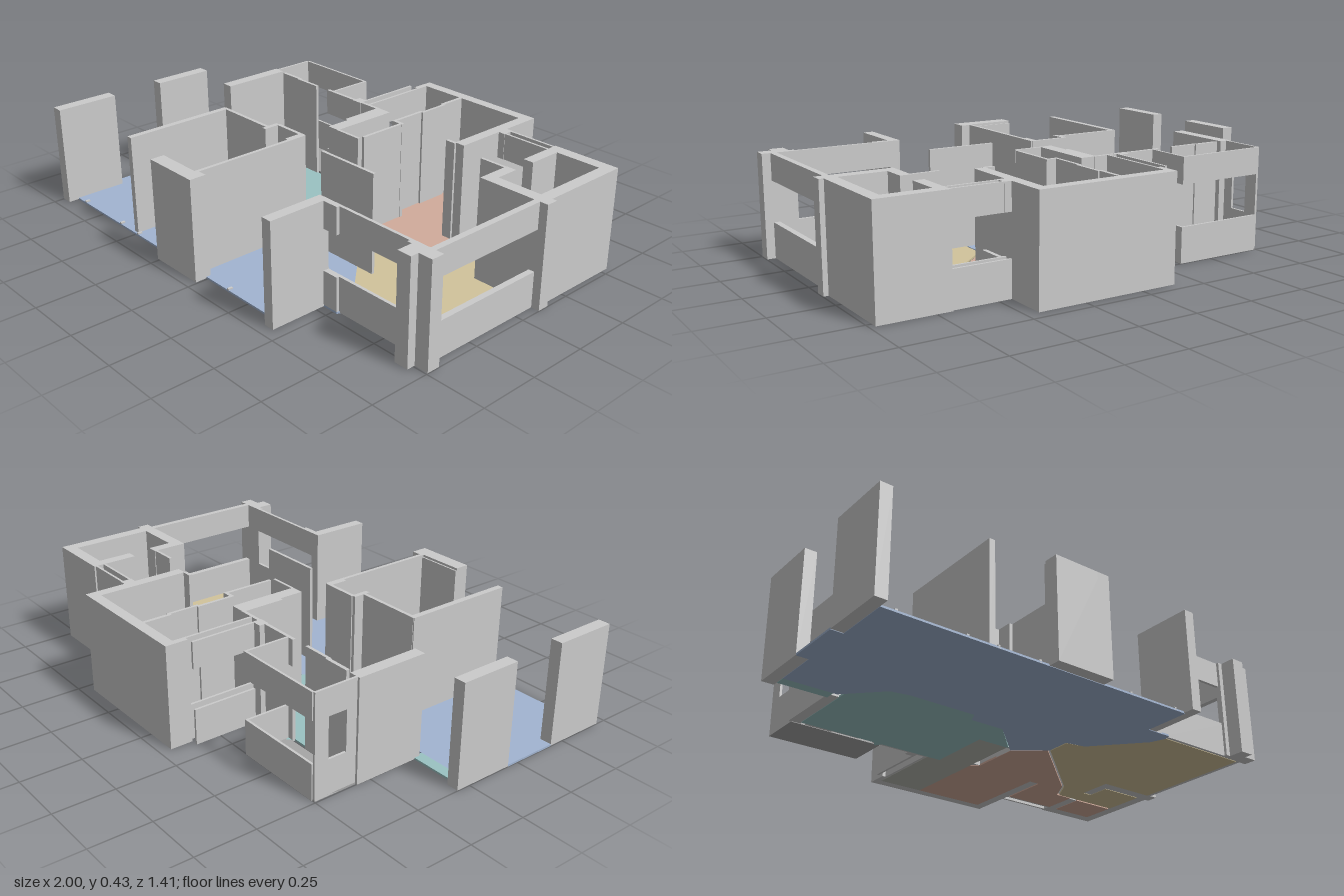
import * as THREE from 'three';

const H = 0.43, SILL = 0.15, HEAD = 0.32, SLAB = 0.008;

export function createModel() {
  const model = new THREE.Group();
  model.name = 'apartment';
  const wallMat = new THREE.MeshStandardMaterial({ color: 0xcccccc });

  // Upright block between plan limits
  function wall(name, x0, x1, z0, z1, y0 = 0.002, y1 = H) {
    const mesh = new THREE.Mesh(new THREE.BoxGeometry(x1 - x0, y1 - y0, z1 - z0), wallMat);
    mesh.position.set((x0 + x1) / 2, (y0 + y1) / 2, (z0 + z1) / 2);
    mesh.name = name;
    model.add(mesh);
  }
  // Parapet and lintel with an open band between
  function windowWall(name, x0, x1, z0, z1) {
    wall(name + 'Parapet', x0, x1, z0, z1, 0.002, SILL);
    wall(name + 'Lintel', x0, x1, z0, z1, HEAD, H);
  }
  // Thin floor slab from plan points (x, z)
  function floor(name, color, points) {
    const shape = new THREE.Shape(points.map(([x, z]) => new THREE.Vector2(x, -z)));
    const geo = new THREE.ExtrudeGeometry(shape, { depth: SLAB, bevelEnabled: false });
    geo.rotateX(-Math.PI / 2);
    const mesh = new THREE.Mesh(geo, new THREE.MeshStandardMaterial({ color }));
    mesh.name = name;
    model.add(mesh);
  }
  const rect = (x0, x1, z0, z1) => [[x0, z0], [x1, z0], [x1, z1], [x0, z1]];

  // Floors
  const blue = 0xa2b5d2, teal = 0x9bc3c3, pink = 0xd2ac9c, yellow = 0xd2c49c;
  floor('frontRoomsFloor', blue, [[-0.95, 0.01], [-0.73, 0.01], [-0.59, 0.15], [-0.51, 0.165],
    [-0.22, 0.165], [-0.2, 0.12], [-0.05, 0.12], [0.11, -0.035], [0.24, 0.06], [0.24, 0.165],
    [0.325, 0.18], [0.505, 0.375], [0.53, 0.44], [0.52, 0.465], [0.41, 0.465], [0.41, 0.66],
    [-0.95, 0.66], [-0.95, 0.435], [-1, 0.435], [-1, 0.2], [-0.95, 0.2]]);
  floor('backRoomsFloor', teal, [[-0.71, -0.3], [-0.38, -0.3], [-0.36, -0.33], [-0.345, -0.3],
    [-0.06, -0.3], [-0.06, -0.02], [0.09, -0.02], [-0.05, 0.12], [-0.2, 0.12], [-0.22, 0.165],
    [-0.51, 0.165], [-0.59, 0.15], [-0.71, 0.03]]);
  floor('sideStripFloor', teal, rect(-0.95, -0.745, -0.035, 0.01));
  floor('balconyFloor', 0xa6a6a6, rect(-0.745, -0.345, -0.5, -0.315));
  floor('hallFloor', 0xb6b8b0, rect(-0.12, 0.08, -0.66, -0.02));
  floor('bedroomFloor', pink, [[0.08, -0.66], [0.405, -0.66], [0.405, -0.27], [0.455, -0.27],
    [0.455, -0.48], [0.69, -0.48], [0.69, -0.33], [0.61, -0.33], [0.56, -0.235], [0.235, 0.055],
    [0.115, -0.04], [0.115, -0.25], [0.08, -0.27]]);
  floor('bathFloor', pink, rect(0.735, 0.93, -0.485, -0.335));
  floor('livingFloor', yellow, [[0.245, 0.06], [0.568, -0.23], [0.62, -0.325], [0.93, -0.325],
    [0.93, -0.14], [0.735, -0.14], [0.735, -0.24], [0.69, -0.24], [0.69, -0.09], [0.945, -0.09],
    [0.945, 0.44], [0.53, 0.44], [0.505, 0.375], [0.325, 0.18], [0.245, 0.165]]);

  // Front pillars
  wall('sidePillarFront', -1, -0.95, 0.435, 0.705);
  wall('sidePillarBack', -1, -0.95, -0.06, 0.2);
  wall('frontPillar', -0.26, -0.045, 0.65, 0.71);
  wall('frontPillarEnd', -0.06, -0.005, 0.64, 0.71);
  wall('frontPillarLip', -0.26, -0.045, 0.643, 0.652, 0.002, H - 0.01);
  wall('frontEndPillar', 0.405, 0.45, 0.44, 0.705);

  // Partitions between the front rooms
  wall('roomPartition', -0.515, -0.49, 0.165, 0.65);
  wall('roomPartition', -0.06, -0.045, 0.16, 0.645);
  wall('corridorWall', -0.51, -0.22, 0.163, 0.178);
  wall('corridorStep', -0.225, -0.205, 0.12, 0.195);
  wall('corridorWall', -0.21, -0.05, 0.115, 0.13);
  wall('corridorEnd', -0.075, -0.045, 0.12, 0.2);
  wall('corridorWall', 0.115, 0.405, 0.165, 0.178);
  for (const x of [-0.89, -0.61, -0.48, -0.3, -0.17, 0.13, 0.36])
    wall('floorStop', x - 0.005, x + 0.005, 0.64, 0.66, 0.002, 0.014);

  // Back room and balcony
  wall('backRoomSideWall', -0.755, -0.705, -0.315, -0.01);
  wall('balconySideWall', -0.745, -0.735, -0.5, -0.44);
  windowWall('balconySide', -0.745, -0.735, -0.44, -0.36);
  wall('balconySideWall', -0.745, -0.735, -0.36, -0.315);
  windowWall('balconyBack', -0.735, -0.345, -0.505, -0.495);
  windowWall('balconyInnerSide', -0.355, -0.345, -0.495, -0.31);
  wall('balconyScreen', -0.685, -0.57, -0.315, -0.3);
  wall('balconyScreen', -0.58, -0.45, -0.308, -0.295);
  windowWall('backRoom', -0.38, -0.2, -0.312, -0.298);
  wall('backRoomWall', -0.17, -0.06, -0.312, -0.298);
  wall('backRoomPost', -0.21, -0.165, -0.335, -0.295);
  wall('backRoomInnerWall', -0.07, -0.055, -0.31, -0.12);
  wall('hallPillar', -0.055, 0, -0.31, -0.015);

  // Rear block
  wall('rearWall', -0.145, 0.45, -0.705, -0.66);
  wall('rearSideWall', -0.145, -0.12, -0.66, -0.61);
  for (const x of [-0.175, -0.13]) windowWall('hallWindow', x, x + 0.01, -0.61, -0.31);
  wall('bedroomSideWall', 0.405, 0.45, -0.66, -0.27);
  wall('bedroomDoorJamb', 0.365, 0.41, -0.275, -0.26);

  // Closet panels between hall and bedroom
  wall('closetPanel', 0.075, 0.09, -0.66, -0.54);
  wall('closetPanel', 0.085, 0.097, -0.55, -0.41);
  wall('closetPanel', 0.075, 0.088, -0.42, -0.26);
  wall('closetReturn', 0.075, 0.13, -0.265, -0.25);
  wall('closetPanel', 0.115, 0.128, -0.255, -0.04);
  wall('hallEndWall', 0, 0.12, -0.025, -0.013);

  // Rear window
  for (const z of [-0.528, -0.492]) windowWall('rearWindow', 0.45, 0.69, z, z + 0.01);
  wall('rearWindowPost', 0.45, 0.48, -0.53, -0.48, HEAD, H);
  wall('rearWindowPanel', 0.462, 0.478, -0.48, -0.37, 0.002, SILL);

  // Bath block
  wall('bathRearWall', 0.69, 0.98, -0.535, -0.485);
  wall('bathInnerWall', 0.69, 0.735, -0.485, -0.34);
  wall('bathOuterWall', 0.93, 0.98, -0.485, -0.14);
  wall('bathFrontWall', 0.69, 1, -0.14, -0.09);
  wall('bathDoorWall', 0.69, 0.735, -0.24, -0.14);
  wall('bathScreen', 0.575, 0.695, -0.237, -0.225);

  // Living room
  windowWall('livingSide', 0.94, 0.965, -0.09, 0.445);
  windowWall('livingFront', 0.51, 0.88, 0.44, 0.453);
  windowWall('livingFrontReturn', 0.45, 0.52, 0.44, 0.465);
  wall('cornerPillar', 0.88, 0.94, 0.44, 0.53);
  wall('cornerPillar', 0.94, 1, 0.44, 0.495);
  wall('cornerPillarEdge', 0.86, 0.88, 0.44, 0.465);
  return model;
}
